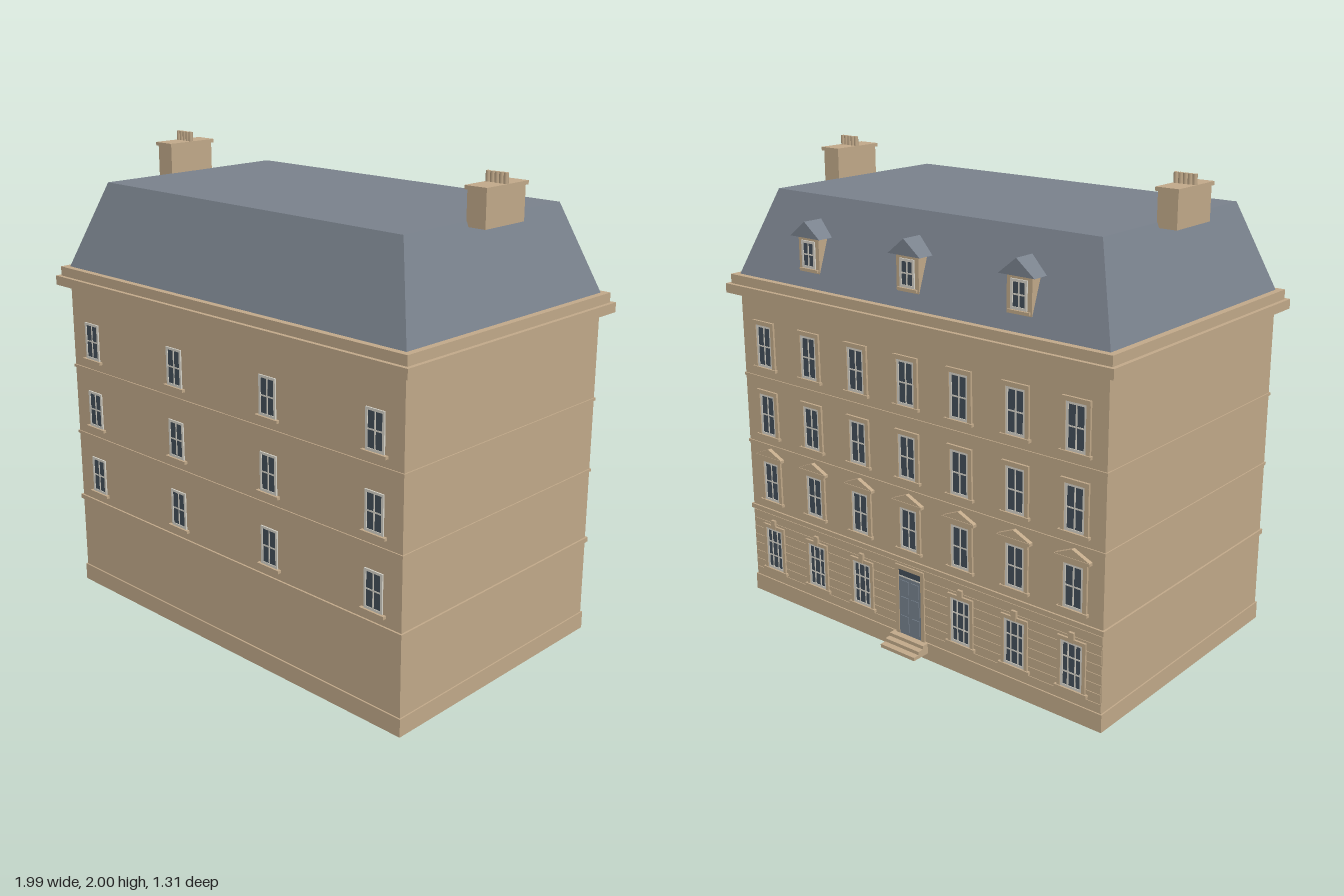
import * as THREE from 'three';

const mat = (name, color, side = THREE.FrontSide) => {
  const m = new THREE.MeshStandardMaterial({ color, side });
  m.name = name;
  return m;
};

export function createModel() {
  const stone = mat('limestone', 0xc2aa8a);
  const slate = mat('slate', 0x7a828d);
  const glass = mat('dark glass', 0x434e59);
  const paint = mat('window paint', 0xd8d5ca);
  const doorPaint = mat('door paint', 0x77828e);

  const model = new THREE.Group();
  model.name = 'townhouse';

  const add = (parent, name, geometry, material, x = 0, y = 0, z = 0) => {
    const m = new THREE.Mesh(geometry, material);
    m.name = name;
    m.position.set(x, y, z);
    parent.add(m);
    return m;
  };
  // Box given by its centre x, width, y range and z range
  const box = (parent, name, material, x, w, y0, y1, z0, z1) =>
    add(parent, name, new THREE.BoxGeometry(w, y1 - y0, z1 - z0), material, x, (y0 + y1) / 2, (z0 + z1) / 2);
  const group = (parent, name) => {
    const g = new THREE.Group();
    g.name = name;
    parent.add(g);
    return g;
  };
  // Slab around the whole house, projecting by p from the walls
  const HX = 0.95, ZB = -0.565, ZF = 0.605, ZC = (ZB + ZF) / 2;
  const ring = (name, y0, y1, p) => box(model, name, stone, 0, 2 * (HX + p), y0, y1, ZB - p, ZF + p);

  // Walls, plinth, string courses and cornice
  ring('walls', 0, 1.42, 0);
  ring('plinth', 0, 0.075, 0.006);
  ring('beltCourse', 0.4, 0.42, 0.008);
  ring('stringCourse', 0.715, 0.727, 0.005);
  ring('stringCourse', 1.022, 1.034, 0.005);
  ring('corniceLower', 1.39, 1.43, 0.045);
  ring('corniceUpper', 1.43, 1.47, 0.028);

  // Mansard roof: a box whose upper corners are drawn inwards
  let roof = new THREE.BoxGeometry(1.9, 0.36, 1.17);
  const rp = roof.attributes.position;
  for (let i = 0; i < rp.count; i++) {
    if (rp.getY(i) > 0) rp.setXYZ(i, Math.sign(rp.getX(i)) * 0.82, 0.18, Math.sign(rp.getZ(i)) * 0.46);
  }
  roof.computeVertexNormals();
  add(model, 'mansardRoof', roof, slate, 0, 1.65, ZC);

  // Chimneys with a cap and a row of pots
  for (const s of [-1, 1]) {
    const c = group(model, 'chimney');
    c.position.x = s * 0.86;
    box(c, 'chimneyStack', stone, 0, 0.086, 1.81, 1.948, -0.095, 0.135);
    box(c, 'chimneyCap', stone, 0, 0.1, 1.945, 1.96, -0.103, 0.143);
    for (let i = -2; i <= 2; i++) {
      add(c, 'chimneyPot', new THREE.CylinderGeometry(0.0095, 0.0095, 0.045, 8), stone, i * 0.02, 1.9775, 0.02);
    }
  }

  // Window facing +z on the plane z = 0, from y0 to y1
  const windowAt = (parent, x, y0, y1, w, cols, rows, z = 0) => {
    const g = group(parent, 'window');
    g.position.set(x, 0, z);
    const f = 0.01, b = 0.006;
    box(g, 'glass', glass, 0, w - f, y0 + f / 2, y1 - f / 2, -0.002, 0.003);
    for (const s of [-1, 1]) box(g, 'frameSide', paint, s * (w - f) / 2, f, y0, y1, -0.002, 0.006);
    box(g, 'frameTop', paint, 0, w - 2 * f, y1 - f, y1, -0.002, 0.006);
    box(g, 'frameBottom', paint, 0, w - 2 * f, y0, y0 + f, -0.002, 0.006);
    for (let i = 1; i < cols; i++) {
      box(g, 'mullion', paint, -w / 2 + (w * i) / cols, b, y0 + f, y1 - f, 0, 0.005);
    }
    for (let i = 1; i < rows; i++) {
      const y = y0 + ((y1 - y0) * i) / rows;
      box(g, 'glazingBar', paint, 0, w - 2 * f, y - b / 2, y + b / 2, 0, 0.0045);
    }
    return g;
  };
  const sill = (g, y, w, d) => box(g, 'sill', stone, 0, w, y - 0.012, y, 0, d);
  // Raised stone surround
  const surround = (g, y0, y1, w, t) => {
    for (const s of [-1, 1]) box(g, 'surroundSide', stone, s * (w + t) / 2, t, y0, y1, 0, 0.009);
    box(g, 'lintel', stone, 0, w + 2 * t, y1, y1 + t, 0, 0.01);
  };
  // Triangular prism with its gable facing z
  const gable = (parent, name, material, w, h, d, y, z) => {
    const s = new THREE.Shape([[-w / 2, 0], [w / 2, 0], [0, h]].map(p => new THREE.Vector2(...p)));
    return add(parent, name, new THREE.ExtrudeGeometry(s, { depth: d, bevelEnabled: false }), material, 0, y, z);
  };

  // Plain side: three rows of four windows
  const plain = group(model, 'plainFacade');
  plain.position.z = ZF;
  const STEP = 0.272;
  for (const y of [0.465, 0.772, 1.08]) {
    for (const k of [-3, -1, 1, 3]) {
      sill(windowAt(plain, k * STEP, y, y + 0.16, 0.09, 2, 2), y, 0.12, 0.015);
    }
  }

  // Street side, built facing +z and turned round
  const street = group(model, 'streetFacade');
  street.position.z = ZB;
  street.rotation.y = Math.PI;

  // Rusticated ground floor
  for (let i = 0; i < 8; i++) {
    const y = 0.08 + i * 0.04;
    box(street, 'rusticationBand', stone, 0, 1.896, y, y + 0.034, -0.002, 0.003);
  }
  for (let k = -3; k <= 3; k++) {
    const x = k * STEP;
    // Ground floor windows with keystones
    if (k !== 0) {
      const g = windowAt(street, x, 0.135, 0.33, 0.1, 3, 3, 0.002);
      surround(g, 0.135, 0.33, 0.1, 0.015);
      sill(g, 0.135, 0.15, 0.014);
      box(g, 'keystone', stone, 0, 0.024, 0.33, 0.372, 0, 0.012);
    }
    // First floor windows with pediments
    const first = windowAt(street, x, 0.465, 0.645, 0.09, 2, 2);
    surround(first, 0.465, 0.645, 0.09, 0.018);
    sill(first, 0.465, 0.14, 0.015);
    box(first, 'hood', stone, 0, 0.16, 0.663, 0.675, 0, 0.02);
    gable(first, 'pediment', stone, 0.16, 0.035, 0.018, 0.675, 0);
    // Upper floors
    for (const y of [0.772, 1.08]) {
      const g = windowAt(street, x, y, y + 0.185, 0.09, 2, 2);
      surround(g, y, y + 0.185, 0.09, 0.018);
      sill(g, y, 0.14, 0.015);
    }
  }

  // Door with panels, fanlight and surround
  const door = group(street, 'entrance');
  box(door, 'doorLeaf', doorPaint, 0, 0.12, 0.07, 0.335, 0, 0.006);
  for (const s of [-1, 1]) {
    for (const [y0, y1] of [[0.09, 0.16], [0.175, 0.245], [0.26, 0.32]]) {
      box(door, 'doorPanel', doorPaint, s * 0.029, 0.042, y0, y1, 0.005, 0.009);
    }
  }
  box(door, 'fanlight', glass, 0, 0.12, 0.34, 0.368, 0, 0.006);
  box(door, 'transom', paint, 0, 0.12, 0.335, 0.34, 0, 0.008);
  surround(door, 0.07, 0.368, 0.12, 0.018);

  // Entrance steps
  [[0.03, 0.045, 0.09], [0.045, 0.06, 0.062], [0.06, 0.075, 0.035]].forEach(([y0, y1, d]) =>
    box(door, 'step', stone, 0, 0.186, y0, y1, 0, d));

  // Dormers on the street slope
  for (const x of [-0.54, 0, 0.54]) {
    const d = group(street, 'dormer');
    d.position.x = x;
    box(d, 'dormerBody', stone, 0, 0.115, 1.53, 1.678, -0.09, -0.02);
    windowAt(d, 0, 1.548, 1.66, 0.075, 2, 2, -0.02);
    box(d, 'dormerSill', stone, 0, 0.1, 1.536, 1.546, -0.03, -0.011);
    gable(d, 'dormerRoof', slate, 0.165, 0.065, 0.115, 1.675, -0.115);
  }

  return model;
}
